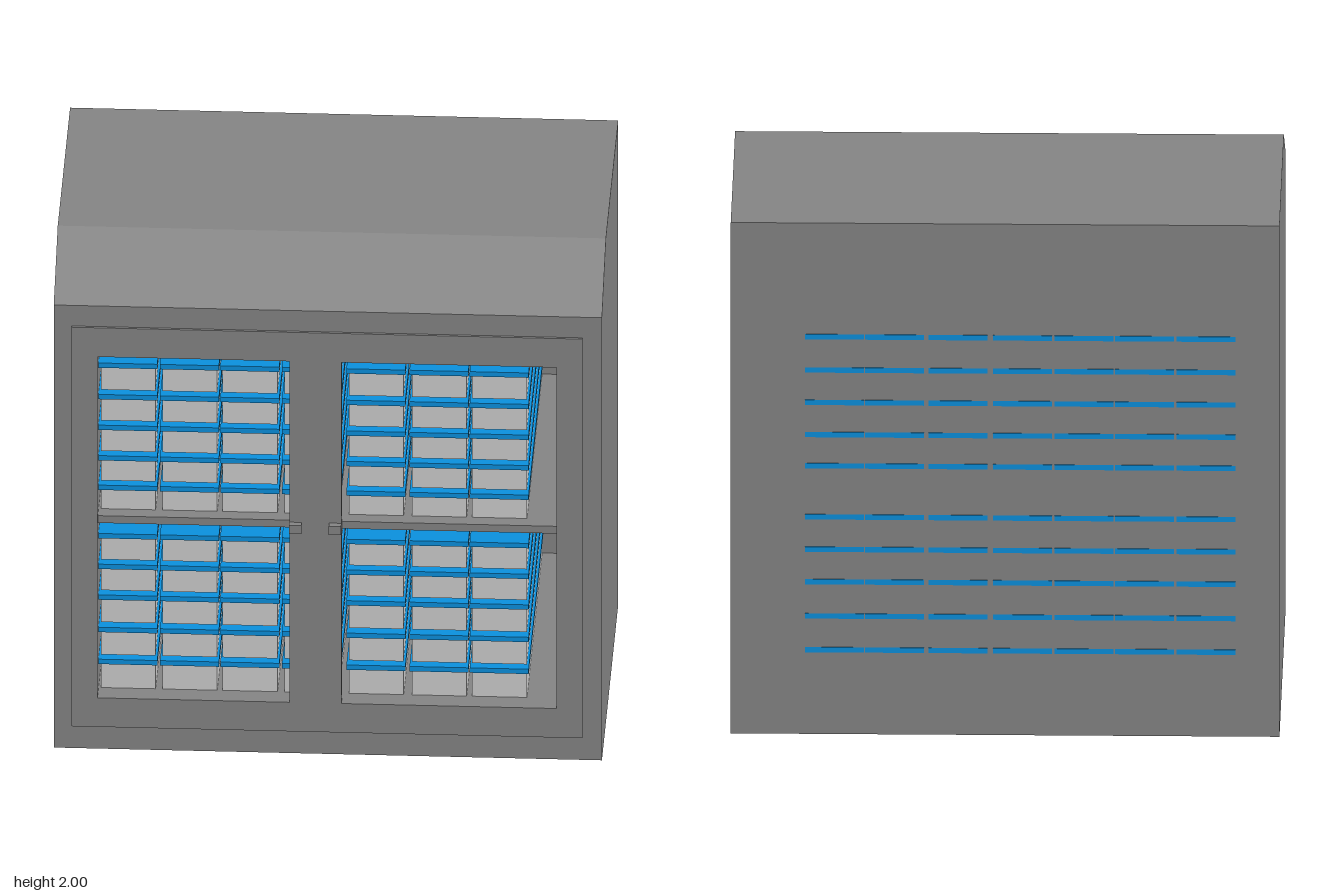
import * as THREE from 'three';

export function createModel() {
  const root = new THREE.Group();
  root.name = 'displayCabinet';
  const dark = new THREE.MeshStandardMaterial({ color: 0x848484 });
  const light = new THREE.MeshStandardMaterial({ color: 0xcccccc });
  const blue = new THREE.MeshStandardMaterial({ color: 0x0a8fdc });

  const add = (name, geometry, material, parent = root) => {
    const mesh = new THREE.Mesh(geometry, material);
    mesh.name = name;
    parent.add(mesh);
    return mesh;
  };
  // Box given by its limits on each axis
  const block = (name, [x0, x1], [y0, y1], [z0, z1], material, parent) =>
    add(name, new THREE.BoxGeometry(x1 - x0, y1 - y0, z1 - z0), material, parent)
      .position.set((x0 + x1) / 2, (y0 + y1) / 2, (z0 + z1) / 2);
  // Side profile of (z, y) points extruded from x0 to x1
  const slab = (name, points, x0, x1) => {
    const shape = new THREE.Shape(points.map(([z, y]) => new THREE.Vector2(z, y)));
    const geometry = new THREE.ExtrudeGeometry(shape, { depth: x1 - x0, bevelEnabled: false });
    geometry.rotateY(-Math.PI / 2).translate(x1, 0, 0);
    add(name, geometry, dark);
  };
  const rect = (Type, x0, x1, y0, y1) => new Type([
    new THREE.Vector2(x0, y0), new THREE.Vector2(x1, y0),
    new THREE.Vector2(x1, y1), new THREE.Vector2(x0, y1)]);

  // Carcass: solid sides and a hollow middle that is open to the front
  const back = -0.62, front = 0.585, left = -0.84, right = 0.835, floor = 0.215, ceiling = 1.625;
  const outer = [[back, 0], [front, 0], [front, 1.83], [0.29, 2], [back, 2]];
  const hollow = [[back, 0], [front, 0], [front, floor], [-0.6, floor], [-0.6, ceiling],
    [front, ceiling], [front, 1.83], [0.29, 2], [back, 2]];
  slab('sideWallRight', outer, -1, left);
  slab('carcass', hollow, left, right);
  slab('sideWallLeft', outer, right, 1);

  // Front frame with two tall windows
  const frame = rect(THREE.Shape, -0.935, 0.93, 0.095, 1.745);
  frame.holes.push(rect(THREE.Path, left, -0.14, floor, ceiling));
  frame.holes.push(rect(THREE.Path, 0.05, right, floor, ceiling));
  const frameGeometry = new THREE.ExtrudeGeometry(frame, { depth: 0.025, bevelEnabled: false });
  add('frontFrame', frameGeometry.translate(0, 0, 0.57), dark);

  // Middle shelf and the two door knobs
  block('shelf', [left, right], [0.925, 0.955], [-0.6, 0.57], dark);
  for (const x of [-0.14, 0.005]) block('knob', [x, x + 0.045], [0.925, 0.96], [0.59, 0.62], dark);

  // Rows of deep storage boxes with coloured lids that just pass through the back
  const columns = [-0.84, -0.615, -0.395, -0.17, 0.065, 0.295, 0.515];
  const rows = [1.565, 1.435, 1.308, 1.182, 1.06, 0.86, 0.733, 0.606, 0.472, 0.34];
  rows.forEach((top, i) => {
    const bottom = i === 4 ? 0.955 : i === 9 ? floor : rows[i + 1] + 0.012;
    const base = i === 4 || i === 9 ? bottom : Math.max(bottom, top - 0.12);
    for (const x of columns) {
      const box = new THREE.Group();
      box.name = 'storageBox';
      root.add(box);
      block('boxBody', [x + 0.008, x + 0.208], [base, top - 0.02], [-0.59, 0.515], light, box);
      block('boxLid', [x, x + 0.215], [top - 0.02, top], [-0.622, 0.53], blue, box);
    }
  });
  return root;
}
